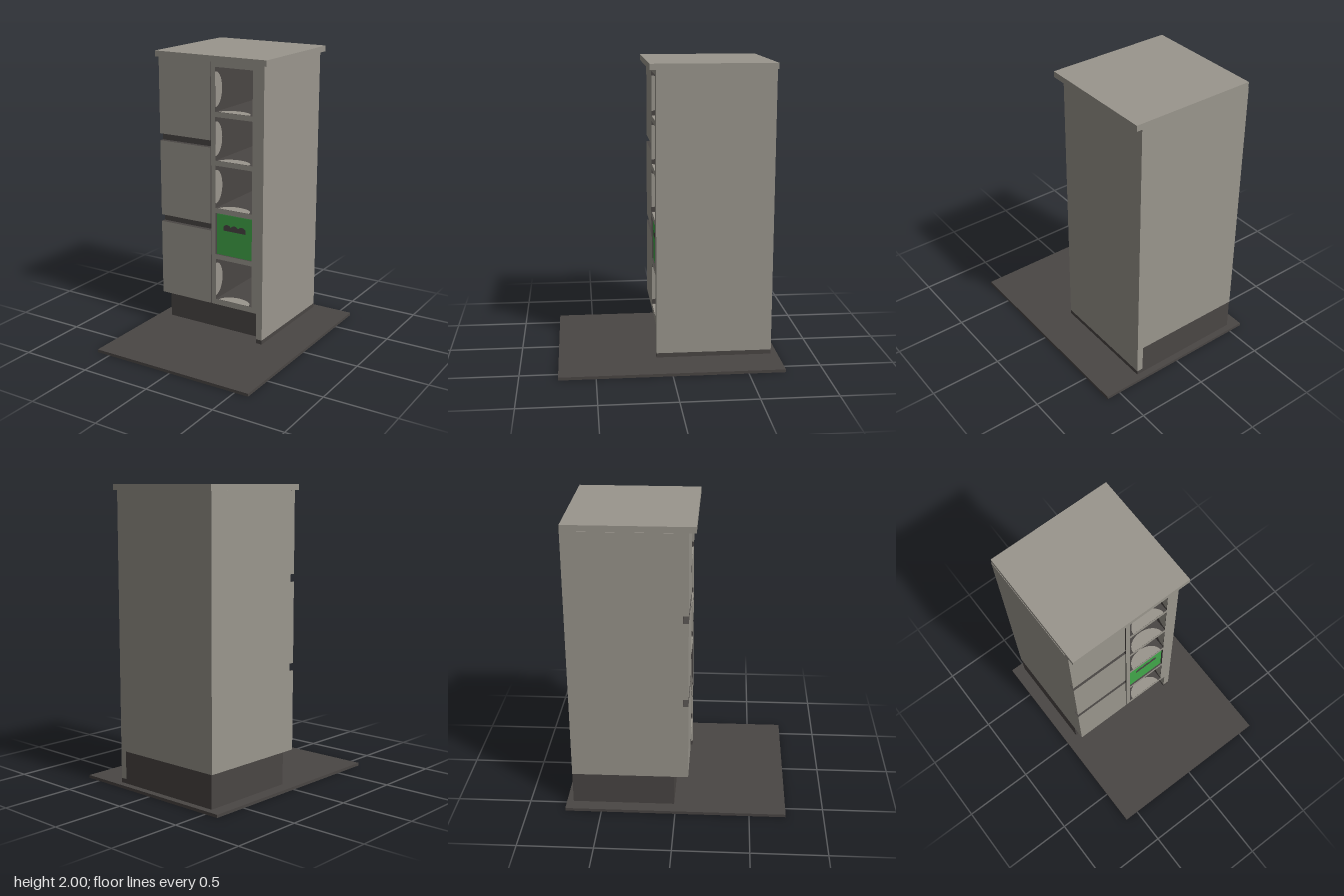
import * as THREE from 'three';

const grey = new THREE.MeshStandardMaterial({ name: 'warmGrey', color: 0x9a968d });
const dark = new THREE.MeshStandardMaterial({ name: 'charcoal', color: 0x4a4644 });
const green = new THREE.MeshStandardMaterial({ name: 'crateGreen', color: 0x42a84a });
const darkGreen = new THREE.MeshStandardMaterial({ name: 'crateSideGreen', color: 0x2c6a32 });

// Box from its limits; materials may be one or six (+x -x +y -y +z -z)
function box(name, [x0, x1], [y0, y1], [z0, z1], material) {
  const mesh = new THREE.Mesh(new THREE.BoxGeometry(x1 - x0, y1 - y0, z1 - z0), material);
  mesh.position.set((x0 + x1) / 2, (y0 + y1) / 2, (z0 + z1) / 2);
  mesh.name = name;
  return mesh;
}

function rectangle(target, x0, x1, y0, y1) {
  return target.moveTo(x0, y0).lineTo(x1, y0).lineTo(x1, y1).lineTo(x0, y1).closePath();
}

export function createModel() {
  const model = new THREE.Group();
  model.name = 'kitchenCabinet';
  const back = -0.7, front = 0.085, top = 1.96;

  // Floor, base and worktop
  model.add(
    box('floorSlab', [-0.6, 0.6], [0, 0.02], [-0.745, 0.745], dark),
    box('plinth', [-0.512, 0.27], [0.02, 0.24], [back, -0.01], dark),
    box('sidePanelFoot', [0.27, 0.315], [0.02, 0.05], [back, front], dark),
    box('sidePanel', [0.27, 0.315], [0.05, top], [back, front], grey),
    box('worktop', [-0.512, 0.355], [top, 2], [back, 0.13], [grey, grey, grey, dark, grey, grey])
  );

  // Drawer column: dark-fronted carcass with three drawer fronts
  model.add(box('drawerCarcass', [-0.515, -0.093], [0.24, top], [back, 0.05],
    [grey, grey, grey, dark, dark, grey]));
  for (let i = 0; i < 3; i++) {
    const y = 0.24 + i * 0.59;
    model.add(box('drawerFront', [-0.515, -0.1], [y, y + 0.54], [0.05, front],
      [dark, grey, dark, dark, grey, grey]));
  }

  // Shelf column: one frame with five openings
  const x0 = -0.06, x1 = 0.23, height = 0.3;
  const bottoms = [0, 1, 2, 3, 4].map((i) => 0.28 + i * 0.335);
  const frame = rectangle(new THREE.Shape(), -0.093, 0.27, 0.24, top);
  for (const y of bottoms) frame.holes.push(rectangle(new THREE.Path(), x0, x1, y, y + height));
  const frameGeometry = new THREE.ExtrudeGeometry(frame, { depth: front + 0.66, bevelEnabled: false });
  const shelfFrame = new THREE.Mesh(frameGeometry, [grey, dark]);
  shelfFrame.position.z = -0.66;
  shelfFrame.name = 'shelfFrame';
  model.add(shelfFrame, box('shelfBack', [-0.093, 0.27], [0.24, top], [back, -0.66],
    [grey, grey, grey, dark, dark, grey]));

  // Pale half-round patches at the mouth of each open shelf
  const patchShape = new THREE.Shape().absellipse(0, 0, 0.12, 0.085, 0, Math.PI);
  const patchGeometry = new THREE.ShapeGeometry(patchShape, 16).rotateX(-Math.PI / 2);
  bottoms.forEach((y, i) => {
    if (i === 1) return;
    for (let k = 0; k < 4; k++) {
      const reach = (k % 2 ? (x1 - x0) / 2 : height / 2) - 0.002;
      const patch = new THREE.Mesh(patchGeometry, grey);
      const angle = k * Math.PI / 2;
      patch.rotation.z = angle;
      patch.position.set((x0 + x1) / 2 + Math.sin(angle) * reach,
        y + height / 2 - Math.cos(angle) * reach, front);
      patch.name = 'shelfPatch';
      model.add(patch);
    }
  });

  // Crate in the second opening, with a scalloped handle slot
  model.add(box('crate', [-0.055, 0.225], [0.615, 0.907], [-0.6, 0.075],
    [darkGreen, darkGreen, darkGreen, darkGreen, green, darkGreen]));
  const slot = new THREE.Shape().moveTo(0, 0.795).lineTo(0.175, 0.795);
  for (let i = 2; i >= 0; i--) {
    const left = i * 0.175 / 3, right = left + 0.175 / 3;
    slot.lineTo(right, 0.825);
    slot.quadraticCurveTo((left + right) / 2, 0.855, left, 0.825);
  }
  const handle = new THREE.Mesh(new THREE.ShapeGeometry(slot, 6), dark);
  handle.position.z = 0.077;
  handle.name = 'crateHandleSlot';
  model.add(handle);

  return model;
}
